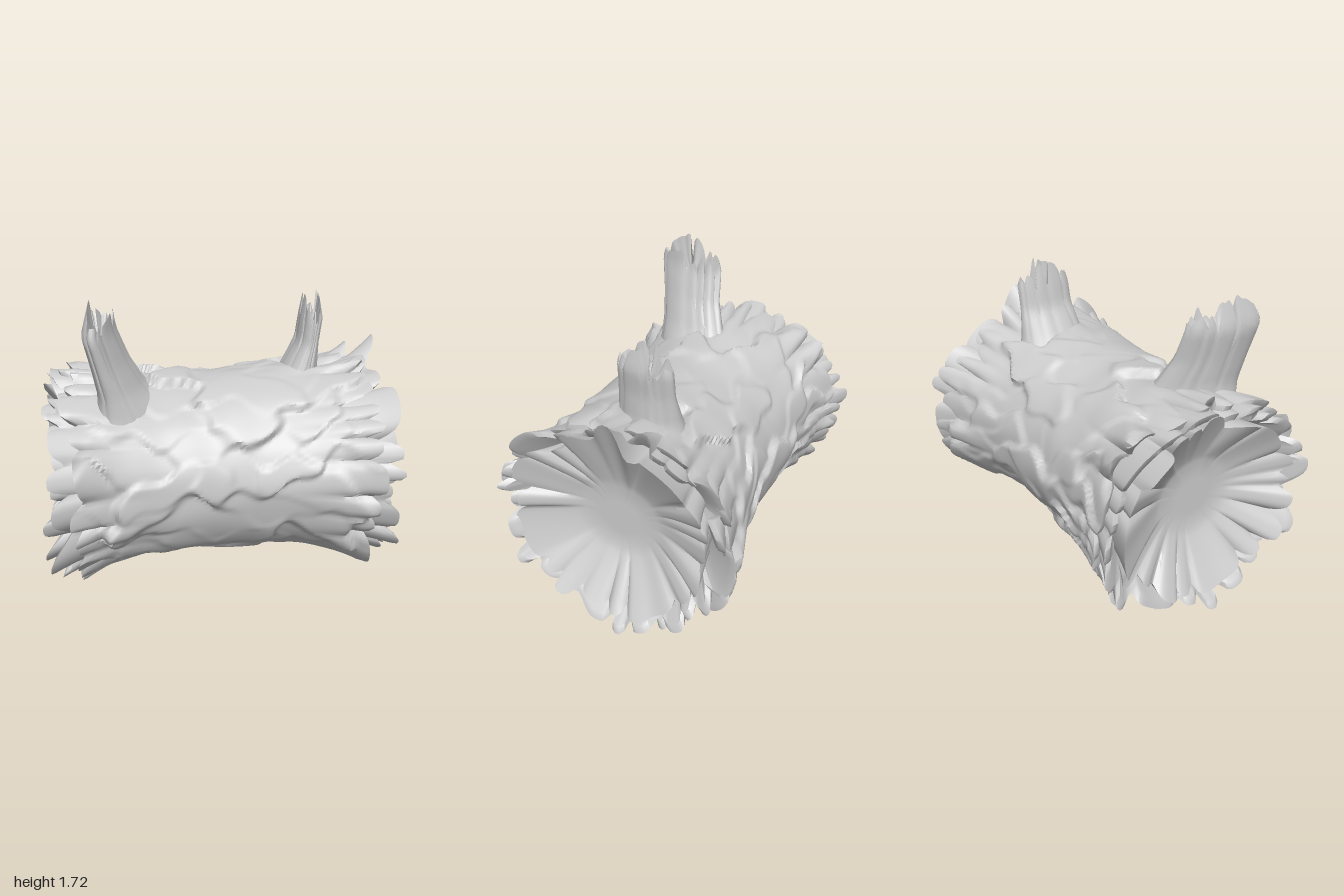
import * as THREE from 'three';
import { toCreasedNormals } from 'three/addons/utils/BufferGeometryUtils.js';

const TAU = Math.PI * 2;
const CENTER_Y = 0.71;

// repeatable pseudo-random number from two integers
function rnd(a, b = 0) {
  const s = Math.sin(a * 127.1 + b * 311.7 + 17.3) * 43758.5453;
  return s - Math.floor(s);
}

// closed-around surface: f(row, angle) gives a point, rows run along the axis
function sheet(rows, cols, f, crease = 0.9) {
  const pos = [], index = [];
  for (let i = 0; i <= rows; i++) {
    for (let j = 0; j < cols; j++) pos.push(...f(i, (j / cols) * TAU));
  }
  for (let i = 0; i < rows; i++) {
    for (let j = 0; j < cols; j++) {
      const k = (j + 1) % cols;
      const a = i * cols + j, b = i * cols + k, c = a + cols, d = b + cols;
      index.push(a, b, c, b, d, c);
    }
  }
  const g = new THREE.BufferGeometry();
  g.setAttribute('position', new THREE.Float32BufferAttribute(pos, 3));
  g.setIndex(index);
  return toCreasedNormals(g, crease);
}

// splinter pattern around a rim: blunt teeth of uneven width and length
function splinter(angle, count, seed) {
  const k = (angle / TAU) * count + 0.4 * Math.sin(3 * angle + seed) + 0.25 * Math.sin(7 * angle + seed * 2) + count;
  const id = Math.floor(k) % count, f = k - Math.floor(k);
  return { shape: 1 - Math.pow(Math.abs(2 * f - 1), 3.4), a: rnd(id, seed), b: rnd(id, seed + 9) };
}

// bark relief: long uneven plates, each tilting up toward the log ends
function barkPlate(x, angle) {
  const around = 20;
  const u = x * 3 + 0.22 * Math.sin(angle * 5 + x * 3) + 0.1 * Math.sin(angle * 13);
  const v = (angle / TAU) * around + 0.3 * Math.sin(x * 9 + 2 * angle) + 0.15 * Math.sin(x * 23);
  let sum = 0, total = 0;
  for (let i = -1; i <= 1; i++) {
    for (let j = -1; j <= 1; j++) {
      const cu = Math.floor(u) + i, cv = Math.floor(v) + j;
      const id = (cv + around) % around;
      const du = u - cu - rnd(cu, id), dv = v - cv - rnd(cu + 40, id);
      const w = Math.exp(-22 * Math.hypot(du, dv));
      sum += w * (0.046 * (rnd(cu + 80, id) - 0.5) + 0.026 * du * Math.tanh(x * 5) + 0.012 * dv);
      total += w;
    }
  }
  return sum / total;
}

function onLog(x, r, angle) {
  return [x, CENTER_Y + r * Math.cos(angle) * 0.93, r * Math.sin(angle)];
}

// layers of the log from outside in; dip lowers the top of the [left, right] rim
const BARK = { x: 0.77, r: 0.63, r0: 0.577, reach: 0.1, spread: 0.09, teeth: 23, seed: 3, dip: [0.1, 0.07] };
const SAPWOOD = { x: 0.84, r: 0.6, r0: 0.52, reach: 0.11, spread: 0.1, teeth: 21, seed: 14, dip: [0.12, 0.03] };
const HEARTWOOD = { x: 0.88, r: 0.51, r0: 0.46, reach: 0.09, spread: 0.1, teeth: 18, seed: 23, dip: [0.05, 0] };

// rim position of a layer at one end; the right end also has one tall splinter on top
function rim(side, angle, layer) {
  const s = splinter(angle, layer.teeth, layer.seed + (side > 0 ? 0 : 3));
  const top = Math.pow(Math.max(0, Math.cos(angle)), 3);
  const slant = side > 0 ? 0.03 * Math.cos(angle) : 0;
  const spike = side > 0 && layer === HEARTWOOD
    ? Math.exp(-Math.pow(Math.sin((angle + 0.05) / 2) / 0.08, 2)) : 0;
  const x = layer.x - slant + s.shape * (0.03 + layer.reach * s.a);
  const r = layer.r + s.shape * (0.03 + layer.spread * s.b) - layer.dip[side > 0 ? 1 : 0] * top;
  return { x: x + (0.96 - x) * spike, r: r + (0.76 - r) * spike };
}

// wall of a layer at v from -1 (left rim) to 1 (right rim)
function wall(v, angle, layer) {
  const side = v < 0 ? -1 : 1, t = Math.abs(v);
  const e = rim(side, angle, layer);
  const x = side * (layer.x * t + (e.x - layer.x) * Math.pow(t, 5));
  const mean = layer.r + 0.05;
  let r = layer.r0 + (mean - layer.r0) * Math.pow(t, 3.4) + (e.r - mean) * Math.pow(t, 5.5);
  if (layer === BARK) r += barkPlate(x, angle) * (1 - 0.3 * Math.pow(t, 6));
  return onLog(x, r, angle);
}

// underside of a rim, folded back beneath the splinters
function fold(side, angle, layer, deep) {
  const e = rim(side, angle, layer);
  return deep ? onLog(side * 0.66, layer.r0 - 0.08, angle) : onLog(side * (e.x - 0.015), e.r - 0.045, angle);
}

function barkGeometry() {
  const n = 88;
  return sheet(n + 4, 184, (i, angle) => {
    const k = i - 2;
    if (k >= 0 && k <= n) return wall((k / n) * 2 - 1, angle, BARK);
    return fold(k < 0 ? -1 : 1, angle, BARK, i === 0 || i === n + 4);
  });
}

// rows of an end piece are counted from the middle of the log outward
function endPiece(side, rows, f) {
  return sheet(rows, 168, (i, angle) => f(side > 0 ? i : rows - i, angle));
}

// ring of splinters between bark and heartwood
function sapwoodGeometry(side) {
  const n = 12;
  return endPiece(side, n + 2, (i, angle) => (i <= n
    ? wall(side * (0.5 + (0.5 * i) / n), angle, SAPWOOD)
    : fold(side, angle, SAPWOOD, i === n + 2)));
}

// innermost splinters and the shallow flat-bottomed bowl inside them
function heartwoodGeometry(side) {
  const n = 10, slope = 7, floorR = 0.22, floorX = 0.78;
  return endPiece(side, n + slope + 2, (i, angle) => {
    if (i <= n) return wall(side * (0.5 + (0.5 * i) / n), angle, HEARTWOOD);
    const step = i - n;
    if (step > slope) return onLog(side * floorX, step === slope + 2 ? 0 : 0.11, angle);
    const e = rim(side, angle, HEARTWOOD), t = step / slope;
    const x = floorX + (e.x - floorX) * Math.pow(1 - t, 1.15);
    return onLog(side * x, floorR + (e.r - floorR) * (1 - t), angle);
  });
}

// broken branch through sections [y, xMin, xMax, zMin, zMax], ending in splinters
function branchGeometry({ sections, low, high, twist, teeth, seed }) {
  const n = 18, hollow = 3, y0 = sections[0][0];
  const sectionAt = (y) => {
    let k = 0;
    while (k < sections.length - 2 && y > sections[k + 1][0]) k++;
    const a = sections[k], b = sections[k + 1];
    const f = Math.min(1, (y - a[0]) / (b[0] - a[0]));
    return a.map((value, m) => value + (b[m] - value) * f);
  };
  return sheet(n + hollow, 80, (i, angle) => {
    const s = splinter(angle, teeth, seed);
    const tall = 0.5 + 0.5 * Math.pow(Math.cos(angle), 2);
    const tip = low + s.shape * tall * (0.06 + (high - low - 0.06) * (0.4 + 0.6 * s.a));
    const t = Math.min(i / n, 1), h = Math.max(0, (i - n) / hollow);
    const [, x0, x1, z0, z1] = sectionAt(y0 + (tip - y0) * t);
    const size = (1 + 0.14 * (s.shape - 0.7) * t) * (1 - h);
    return [
      (x0 + x1) / 2 + ((x1 - x0) / 2) * size * Math.cos(angle + twist),
      h > 0 ? tip + (low - 0.03 - tip) * Math.sqrt(h) : y0 + (tip - y0) * t,
      (z0 + z1) / 2 - ((z1 - z0) / 2) * size * Math.sin(angle),
    ];
  });
}

export function createModel() {
  const group = new THREE.Group();
  group.name = 'hollowLog';
  const wood = new THREE.MeshStandardMaterial({ color: 0xcccccc });
  wood.name = 'paleGreyWood';

  const parts = {
    bark: barkGeometry(),
    leftSapwood: sapwoodGeometry(-1),
    rightSapwood: sapwoodGeometry(1),
    leftHeartwood: heartwoodGeometry(-1),
    rightHeartwood: heartwoodGeometry(1),
    largeBranch: branchGeometry({
      sections: [
        [0.95, -0.72, -0.16, -0.16, 0.46],
        [1.12, -0.68, -0.28, -0.09, 0.43],
        [1.24, -0.67, -0.4, -0.02, 0.43],
        [1.4, -0.7, -0.49, 0.04, 0.45],
        [1.58, -0.74, -0.56, 0.06, 0.48],
        [1.76, -0.69, -0.58, 0.1, 0.42],
      ],
      low: 1.54, high: 1.78, twist: -0.5, teeth: 9, seed: 4,
    }),
    smallBranch: branchGeometry({
      sections: [
        [1.04, 0.28, 0.68, -0.29, 0.22],
        [1.24, 0.41, 0.63, -0.24, 0.14],
        [1.4, 0.5, 0.63, -0.22, 0.11],
        [1.54, 0.52, 0.65, -0.22, 0.1],
        [1.7, 0.55, 0.62, -0.18, 0.04],
      ],
      low: 1.48, high: 1.73, twist: -0.15, teeth: 7, seed: 12,
    }),
  };

  for (const [name, geometry] of Object.entries(parts)) {
    const mesh = new THREE.Mesh(geometry, wood);
    mesh.name = name;
    group.add(mesh);
  }
  return group;
}
